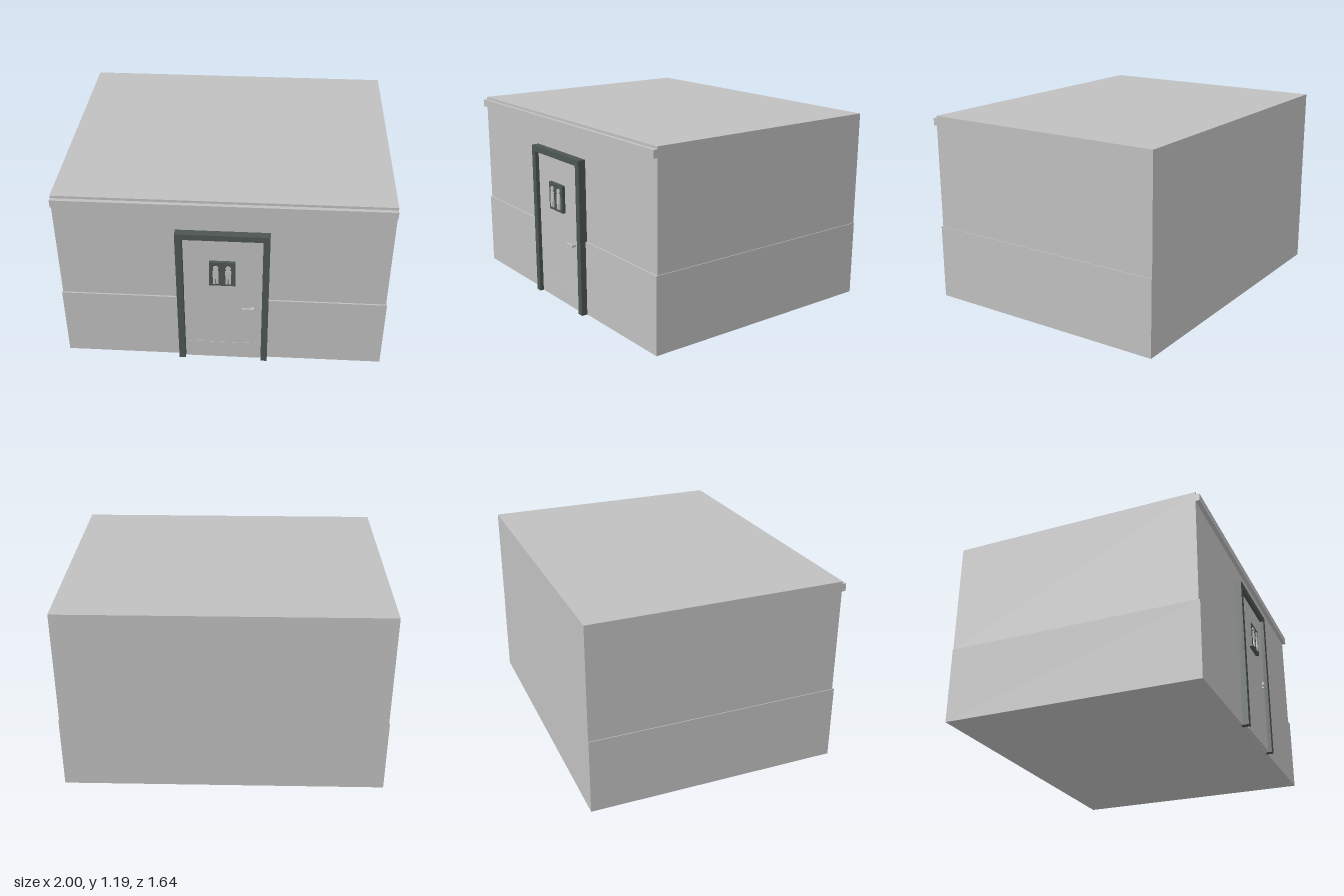
import * as THREE from 'three';

export function createModel() {
  const group = new THREE.Group();
  group.name = 'restroomBuilding';
  const wall = new THREE.MeshStandardMaterial({ color: 0xc0c0c0 });
  wall.name = 'light grey';
  const dark = new THREE.MeshStandardMaterial({ color: 0x4d5654 });
  dark.name = 'dark grey';

  const add = (name, geometry, material, parent = group) => {
    const mesh = new THREE.Mesh(geometry, material);
    mesh.name = name;
    parent.add(mesh);
    return mesh;
  };
  // Box given by its lower and upper corners
  const box = (name, material, [x0, y0, z0], [x1, y1, z1]) => {
    const g = new THREE.BoxGeometry(x1 - x0, y1 - y0, z1 - z0);
    g.translate((x0 + x1) / 2, (y0 + y1) / 2, (z0 + z1) / 2);
    return add(name, g, material);
  };
  const outline = (points) => new THREE.Shape(points.map(([x, y]) => new THREE.Vector2(x, y)));
  const extrude = (shape, z0, z1) => {
    const g = new THREE.ExtrudeGeometry(shape, { depth: z1 - z0, bevelEnabled: false, curveSegments: 12 });
    return g.translate(0, 0, z0);
  };

  // Building: slightly wider lower wall, upper wall and roof trim
  box('lowerWall', wall, [-1, 0, -0.82], [1, 0.475, 0.775]);
  box('upperWall', wall, [-0.995, 0.475, -0.82], [0.995, 1.193, 0.765]);
  box('roofTrim', wall, [-0.995, 1.13, 0.765], [0.995, 1.177, 0.79]);

  // Door frame
  const frame = outline([
    [-0.28, 0], [-0.24, 0], [-0.24, 0.947], [0.24, 0.947],
    [0.24, 0], [0.28, 0], [0.28, 0.985], [-0.28, 0.985],
  ]);
  add('doorFrame', extrude(frame, 0.764, 0.813), dark);

  // Door, kick plate and handle
  box('door', wall, [-0.237, 0.003, 0.764], [0.237, 0.944, 0.79]);
  box('kickPlate', wall, [-0.21, 0.004, 0.79], [0.21, 0.13, 0.792]);
  box('handleStem', wall, [0.175, 0.421, 0.79], [0.19, 0.434, 0.808]);
  box('handleLever', wall, [0.118, 0.419, 0.808], [0.194, 0.436, 0.82]);

  // Sign with two raised figures
  box('signPanel', dark, [-0.08, 0.61, 0.79], [0.077, 0.785, 0.81]);
  const body = outline([
    [-0.017, 0.628], [-0.003, 0.628], [-0.003, 0.665], [0.003, 0.665], [0.003, 0.628],
    [0.017, 0.628], [0.018, 0.722], [0.013, 0.728], [-0.013, 0.728], [-0.018, 0.722],
  ]);
  const head = new THREE.Shape();
  head.absarc(0, 0.745, 0.016, 0, Math.PI * 2);
  for (const x of [-0.04, 0.035]) {
    const figure = new THREE.Group();
    figure.name = x < 0 ? 'rightFigure' : 'leftFigure';
    figure.position.x = x;
    add('figureBody', extrude(body, 0.81, 0.816), wall, figure);
    add('figureHead', extrude(head, 0.81, 0.816), wall, figure);
    group.add(figure);
  }
  return group;
}
